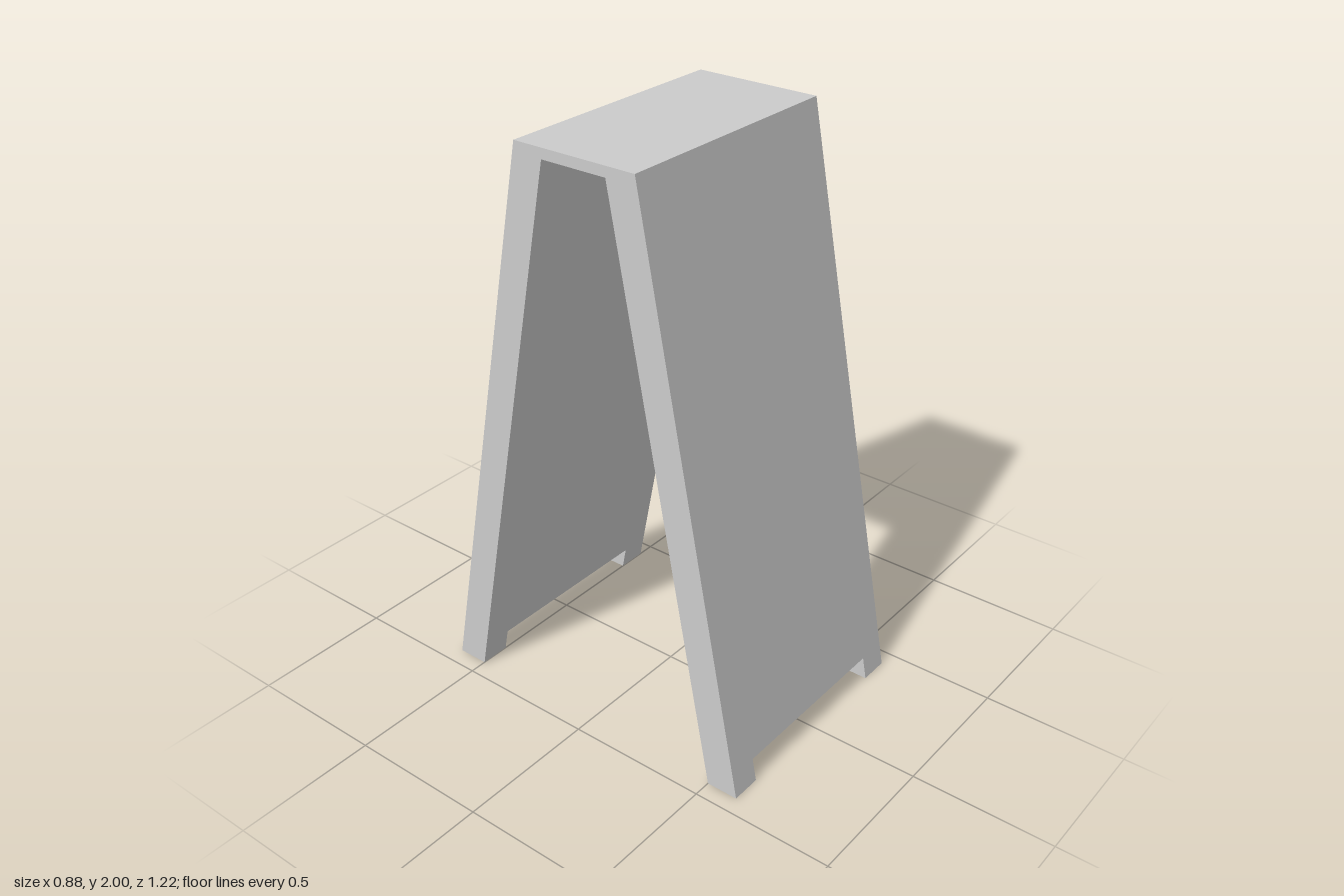
import * as THREE from 'three';

const HALF_WIDTH = 0.438, HEIGHT = 2, THICKNESS = 0.112;
const FOOT_INNER = 0.33, FOOT_HEIGHT = 0.08;
const CAP_BOTTOM = 1.965;
const INNER_BASE = 0.5, SLOPE = 0.194;

// Inner face of a leaning panel at height y
const innerZ = (y) => INNER_BASE - SLOPE * y;

const polygon = (points) => new THREE.Shape(points.map(([x, y]) => new THREE.Vector2(x, y)));

const extrude = (points, depth) =>
  new THREE.ExtrudeGeometry(polygon(points), { depth, bevelEnabled: false });

export function createModel() {
  const group = new THREE.Group();
  group.name = 'sandwichBoard';
  const material = new THREE.MeshStandardMaterial({ color: 0xcccccc, flatShading: true });

  // Board outline with a notch that leaves two feet, sheared into a lean
  const panel = extrude([
    [-HALF_WIDTH, 0], [-FOOT_INNER, 0], [-FOOT_INNER, FOOT_HEIGHT],
    [FOOT_INNER, FOOT_HEIGHT], [FOOT_INNER, 0], [HALF_WIDTH, 0],
    [HALF_WIDTH, HEIGHT], [-HALF_WIDTH, HEIGHT],
  ], THICKNESS);
  const pos = panel.attributes.position;
  for (let i = 0; i < pos.count; i++) pos.setZ(i, pos.getZ(i) + innerZ(pos.getY(i)));
  panel.computeVertexNormals();

  // Front and back panels
  ['frontPanel', 'backPanel'].forEach((name, i) => {
    const mesh = new THREE.Mesh(panel, material);
    mesh.name = name;
    mesh.rotation.y = i * Math.PI;
    group.add(mesh);
  });

  // Top cap fitted between the panels
  const low = innerZ(CAP_BOTTOM), high = innerZ(HEIGHT);
  const capGeometry = extrude(
    [[-low, CAP_BOTTOM], [low, CAP_BOTTOM], [high, HEIGHT], [-high, HEIGHT]], HALF_WIDTH * 2);
  capGeometry.translate(0, 0, -HALF_WIDTH).rotateY(Math.PI / 2);
  const cap = new THREE.Mesh(capGeometry, material);
  cap.name = 'topCap';
  group.add(cap);

  return group;
}
